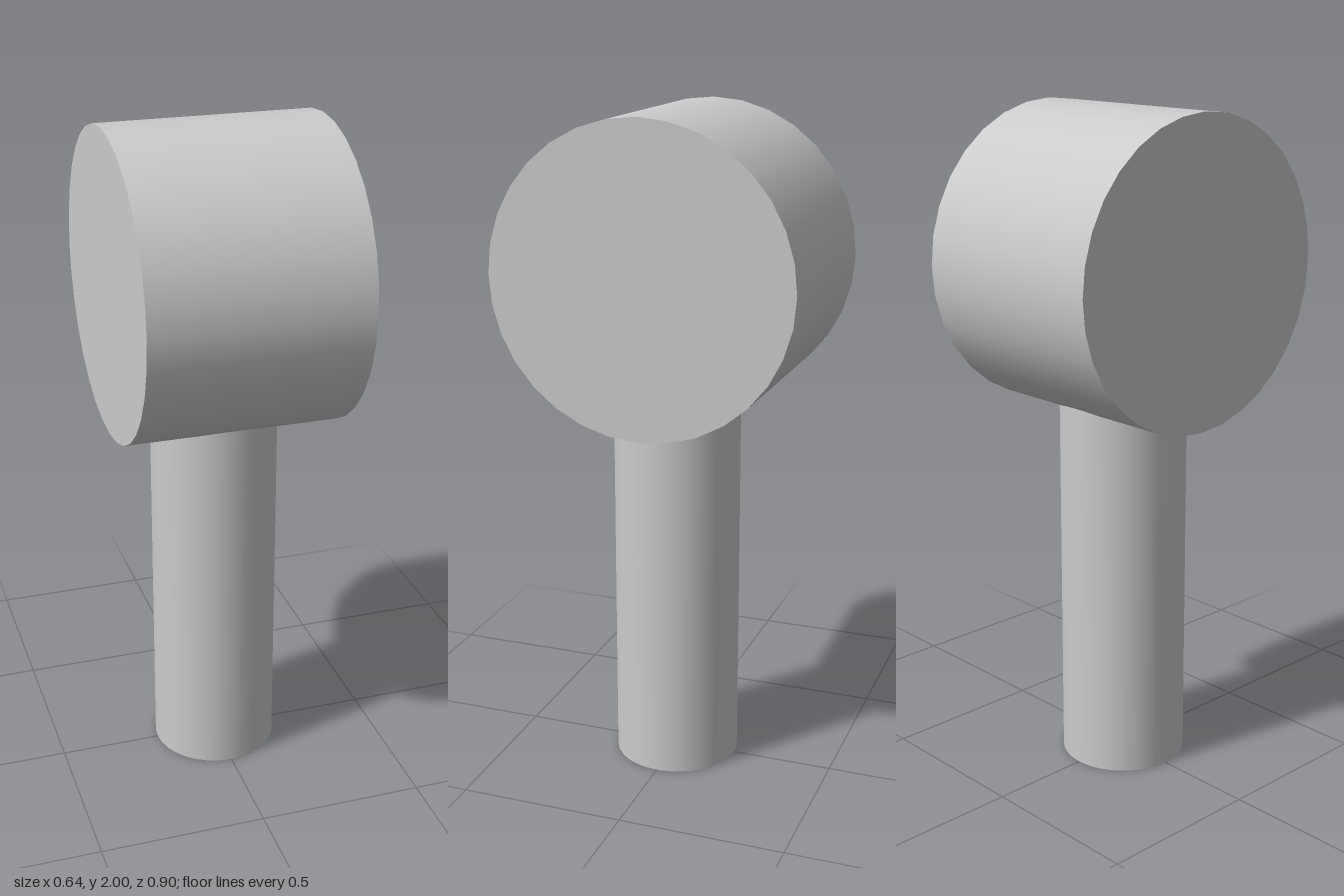
import * as THREE from 'three';

export function createModel() {
  const model = new THREE.Group();
  model.name = 'mallet';
  const material = new THREE.MeshStandardMaterial({ color: 0xcccccc });

  function addCylinder(name, radius, length, y) {
    const mesh = new THREE.Mesh(new THREE.CylinderGeometry(radius, radius, length, 32), material);
    mesh.name = name;
    mesh.position.y = y;
    model.add(mesh);
    return mesh;
  }

  // Upright handle, its top end sunk into the head
  const handleLength = 1.2;
  addCylinder('handle', 0.19, handleLength, handleLength / 2);

  // Drum-shaped head lying across the handle
  const head = addCylinder('head', 0.45, 0.64, 1.55);
  head.rotation.z = Math.PI / 2;

  return model;
}
